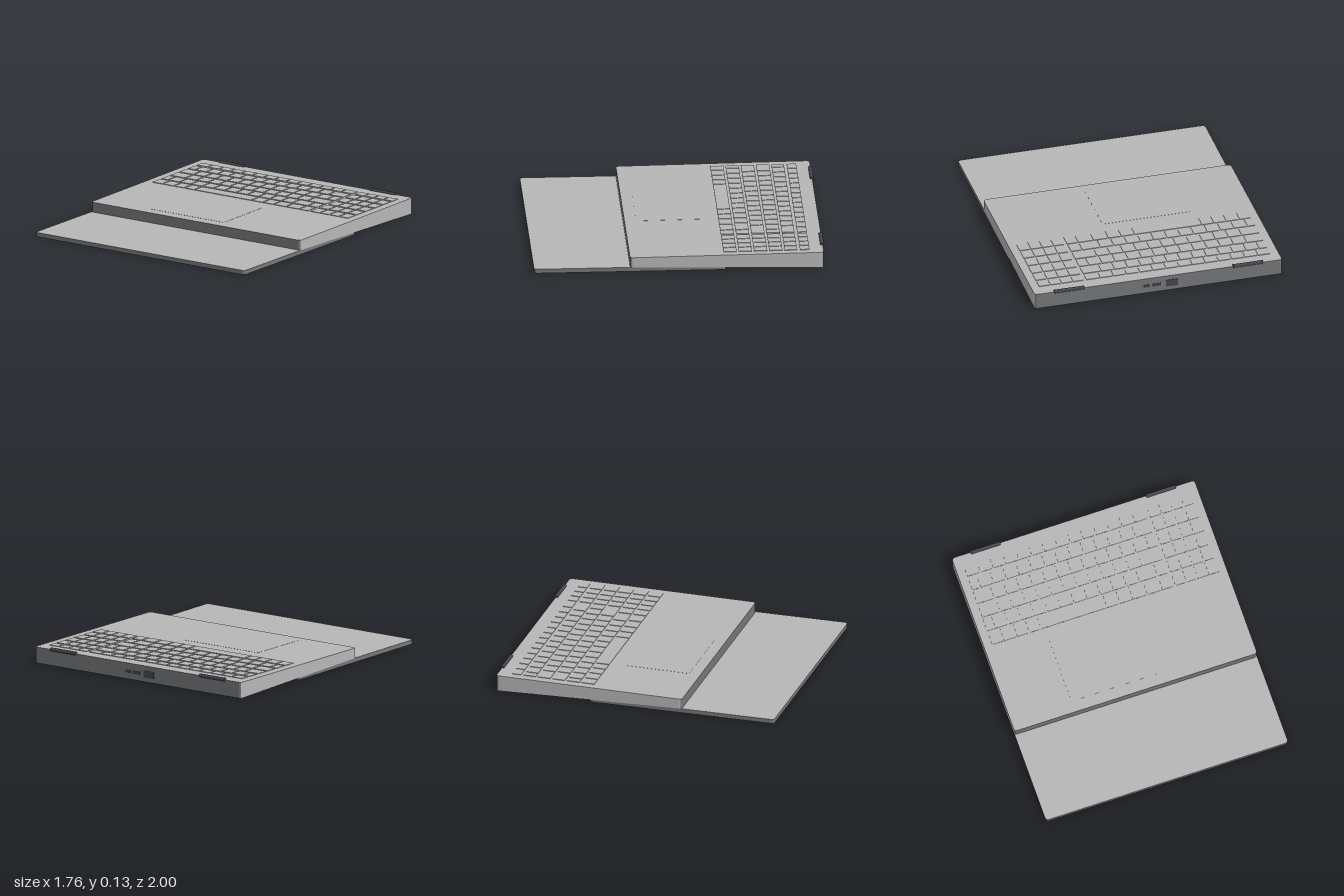
import * as THREE from 'three';

const silver = new THREE.MeshStandardMaterial({ name: 'silver', color: 0xb6b6b6 });
const graphite = new THREE.MeshStandardMaterial({ name: 'graphite', color: 0x747678 });
const charcoal = new THREE.MeshStandardMaterial({ name: 'charcoal', color: 0x44464d });

const HALF_W = 0.88, BACK = -0.99, FRONT = 0.34;
const mix = (z, atBack, atFront) => atBack + (atFront - atBack) * (z - BACK) / (FRONT - BACK);
const deckY = z => mix(z, 0.113, 0.1);
const tilt = Math.atan(0.013 / (FRONT - BACK));

// Rounded rectangle slab whose lower and upper heights depend on z;
// pick(normal) gives the material index for each face.
function slab(name, halfW, z0, z1, low, high, pick) {
  const r = 0.025, s = new THREE.Shape();
  s.moveTo(-halfW + r, -z1);
  s.lineTo(halfW - r, -z1).quadraticCurveTo(halfW, -z1, halfW, -z1 + r);
  s.lineTo(halfW, -z0 - r).quadraticCurveTo(halfW, -z0, halfW - r, -z0);
  s.lineTo(-halfW + r, -z0).quadraticCurveTo(-halfW, -z0, -halfW, -z0 - r);
  s.lineTo(-halfW, -z1 + r).quadraticCurveTo(-halfW, -z1, -halfW + r, -z1);
  const g = new THREE.ExtrudeGeometry(s, { depth: 1, bevelEnabled: false, curveSegments: 5 });
  g.rotateX(-Math.PI / 2);
  const p = g.attributes.position;
  for (let i = 0; i < p.count; i++) {
    const z = p.getZ(i);
    p.setY(i, p.getY(i) > 0.5 ? high(z) : low(z));
  }
  g.computeVertexNormals();
  g.clearGroups();
  const n = new THREE.Vector3();
  for (let i = 0; i < p.count; i += 3) {
    n.fromBufferAttribute(g.attributes.normal, i);
    g.addGroup(i, 3, pick(n));
  }
  const mesh = new THREE.Mesh(g, [silver, graphite]);
  mesh.name = name;
  return mesh;
}

function box(name, w, h, d, x, y, z, material) {
  const mesh = new THREE.Mesh(new THREE.BoxGeometry(w, h, d), material);
  mesh.name = name;
  mesh.position.set(x, y, z);
  return mesh;
}

// Thin plate lying on the sloping deck
function deckPlate(name, x0, x1, z0, z1, rise) {
  const z = (z0 + z1) / 2;
  const mesh = box(name, x1 - x0, 0.006, z1 - z0, (x0 + x1) / 2, deckY(z) + rise - 0.003, z, silver);
  mesh.rotation.x = tilt;
  return mesh;
}

// Left edges of evenly pitched keys
const run = (start, count, pitch) => Array.from({ length: count }, (_, i) => start + i * pitch);

export function createModel() {
  const model = new THREE.Group();
  model.name = 'laptop';

  // Wedge-shaped body resting on the folded-under lid
  model.add(slab('base', HALF_W, BACK, FRONT, z => mix(z, 0, 0.03), deckY,
    n => (n.y < -0.5 || Math.abs(n.z) > 0.6 ? 1 : 0)));
  model.add(slab('lid', HALF_W - 0.001, -0.32, 1, () => 0, () => 0.03,
    n => (Math.abs(n.y) > 0.5 ? 0 : 1)));

  // Keyboard: each row is back z, front z and the list of key edges
  const rows = [
    [-0.895, -0.83, [...run(-0.82, 14, 0.0935), 0.495]],
    [-0.81, -0.725, [-0.82, ...run(-0.758, 13, 0.0935), 0.495]],
    [-0.71, -0.62, [-0.82, ...run(-0.697, 13, 0.0935), 0.495]],
    [-0.605, -0.515, [-0.82, ...run(-0.69, 12, 0.0935), 0.495]],
    [-0.5, -0.41, [-0.82, ...run(-0.76, 12, 0.095), 0.415, 0.495]],
    [-0.395, -0.305, [-0.82, -0.733, -0.638, -0.55, -0.465, 0.013, 0.108, 0.2, 0.305, 0.415, 0.495]],
  ];
  const keyboard = new THREE.Group();
  keyboard.name = 'keyboard';
  for (const [z0, z1, edges] of rows) {
    const numberPad = run(0.508, 5, 0.081);
    for (const list of [edges, numberPad]) {
      for (let i = 0; i < list.length - 1; i++) {
        keyboard.add(deckPlate('key', list[i], list[i + 1] - 0.009, z0, z1, 0.004));
      }
    }
  }
  model.add(keyboard);
  model.add(deckPlate('touchpad', -0.44, 0.18, -0.2, 0.26, 0.001));

  // Hinge barrels on the back edge
  for (const side of [-1, 1]) {
    const hinge = new THREE.Mesh(new THREE.CylinderGeometry(0.013, 0.013, 0.212, 16), charcoal);
    hinge.name = 'hinge';
    hinge.rotation.z = Math.PI / 2;
    hinge.position.set(side * 0.636, 0.114, -0.987);
    model.add(hinge);
  }

  // Rear ports: centre x, width, height
  for (const [x, w, h] of [[0.085, 0.045, 0.02], [0.015, 0.065, 0.022], [-0.095, 0.085, 0.05]]) {
    model.add(box('rearPort', w, h, 0.006, x, 0.055, BACK, charcoal));
  }
  return model;
}
